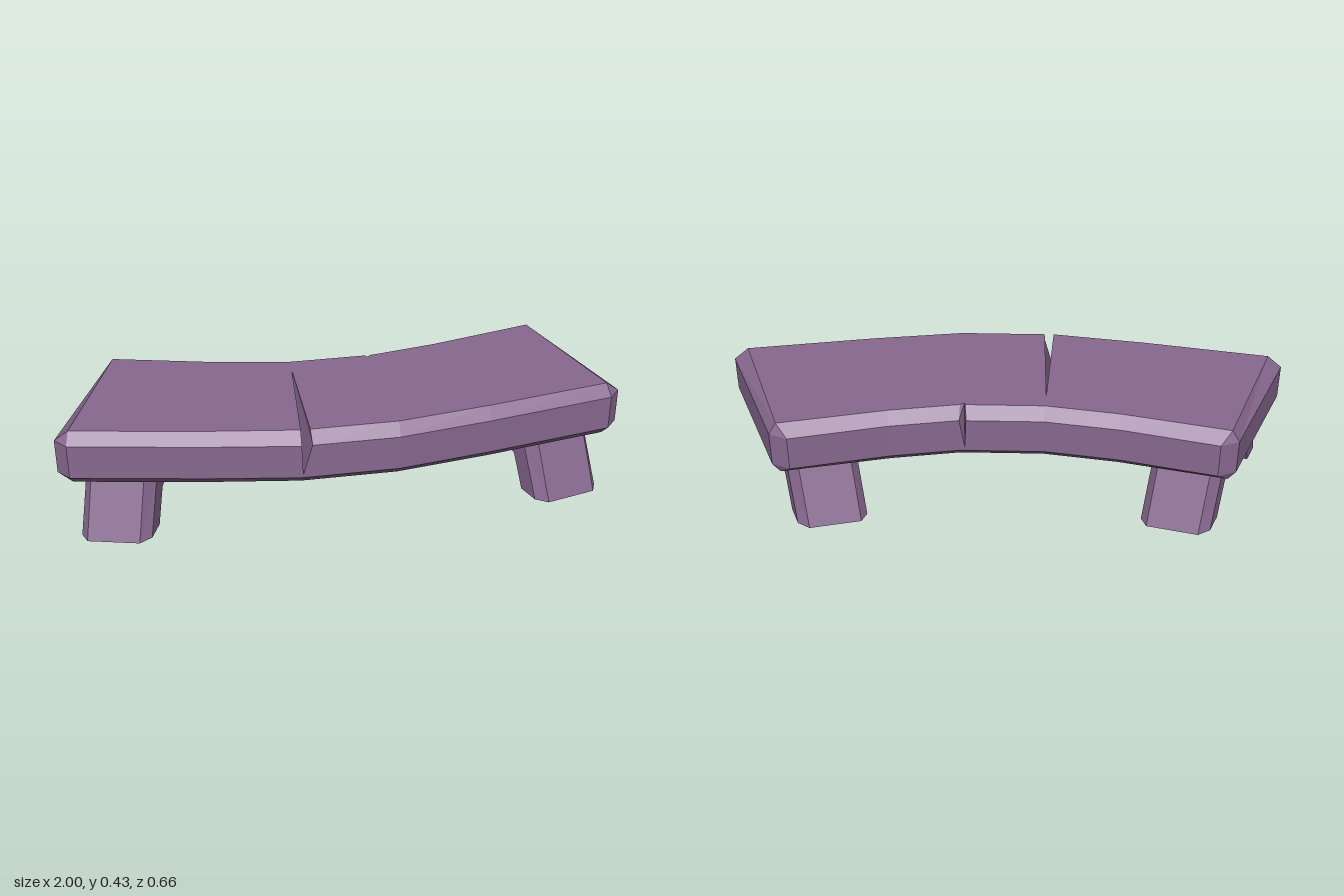
import * as THREE from 'three';

const stone = new THREE.MeshStandardMaterial({ color: 0x87688f, flatShading: true });
stone.name = 'purpleStone';

// Collects flat polygons, given counter-clockwise from outside, into one mesh
function polyMesh(name, polys, mirror = false) {
  const pos = [];
  for (const p of polys) {
    for (let i = 1; i < p.length - 1; i++) {
      const t = [p[0], p[i], p[i + 1]];
      const area = new THREE.Triangle(...t).getArea();
      if (area < 1e-7) continue;
      if (mirror) t.reverse();
      for (const v of t) pos.push(mirror ? -v.x : v.x, v.y, v.z);
    }
  }
  const geo = new THREE.BufferGeometry();
  geo.setAttribute('position', new THREE.Float32BufferAttribute(pos, 3));
  geo.computeVertexNormals();
  const mesh = new THREE.Mesh(geo, stone);
  mesh.name = name;
  return mesh;
}

const V = (x, y, z) => new THREE.Vector3(x, y, z);

function cap(points, up) {
  const flat = points.map(p => new THREE.Vector2(p.x, -p.z));
  return THREE.ShapeUtils.triangulateShape(flat, []).map(f => {
    const t = f.map(i => points[i]);
    return up ? t : t.reverse();
  });
}

// Curved slab with bevelled rims and two V-shaped cracks
function makeSeat() {
  // outer x, z, then bevelled x, z
  const plan = [
    [-0.96, 0.205, -0.95, 0.17], [-0.5, 0.285, -0.5, 0.247],
    [-0.172, 0.333, -0.17, 0.293], [-0.135, 0.333, -0.137, 0.293],
    [0.17, 0.333, 0.17, 0.293], [0.5, 0.285, 0.5, 0.247],
    [0.96, 0.205, 0.95, 0.17], [1, 0.16, 0.95, 0.17],
    [0.805, -0.297, 0.78, -0.286], [0.74, -0.322, 0.78, -0.286],
    [0.4, -0.24, 0.4, -0.2], [0.157, -0.2, 0.155, -0.16], [0.133, -0.2, 0.135, -0.16],
    [-0.14, -0.2, -0.14, -0.16], [-0.4, -0.24, -0.4, -0.2],
    [-0.74, -0.322, -0.78, -0.286], [-0.805, -0.297, -0.78, -0.286],
    [-1, 0.16, -0.95, 0.17],
  ];
  // keyed by the plan point where the crack starts
  const cracks = {
    2: { tip: V(-0.145, 0.43, 0.1 - 0.2), low: V(-0.168, 0.272, 0.333) },
    11: { tip: V(0.14, 0.43, -0.15), low: V(0.138, 0.272, -0.2) },
  };
  const ring = (y, inset) => plan.map(p => V(p[inset ? 2 : 0], y, p[inset ? 3 : 1]));
  const rings = [ring(0.22, true), ring(0.26, false), ring(0.39, false), ring(0.43, true)];
  const polys = [];
  const top = [];
  plan.forEach((_, i) => {
    const j = (i + 1) % plan.length;
    const [r0, r1, r2, r3] = rings;
    polys.push([r0[i], r0[j], r1[j], r1[i]]);
    top.push(r3[i]);
    const c = cracks[i];
    if (c) {
      top.push(c.tip);
      polys.push([r1[i], r1[j], c.low], [r1[j], r2[j], c.low], [r1[i], c.low, r2[i]]);
      polys.push([c.tip, r3[i], r2[i], c.low], [c.tip, c.low, r2[j], r3[j]]);
    } else {
      polys.push([r1[i], r1[j], r2[j], r2[i]], [r2[i], r2[j], r3[j], r3[i]]);
    }
  });
  const unique = pts => pts.filter((p, i) => !p.equals(pts[(i + 1) % pts.length]));
  polys.push(...cap(unique(top), true), ...cap(unique(rings[0]), false));
  return polyMesh('seat', polys);
}

// Splayed arch support, lofted from the front foot over to the back foot
function makeLeg(name, mirror) {
  // distance from arch centre and height of the inner, side and outer edges
  const foot = [[0.171, 0], [0.245, 0], [0.279, 0]];
  const knee = [[0.118, 0.127], [0.17, 0.185], [0.2, 0.21]];
  const apex = [[0, 0.178], [0, 0.25], [0, 0.28]];
  const stations = [[foot, 1], [knee, 1], [apex, 1], [knee, -1], [foot, -1]];
  const full = 0.125, narrow = 0.093;
  const point = ([d, y], sign, w) =>
    V(0.7165 + 0.4175 * d * sign + 0.972 * w, y, -0.031 + d * sign - 0.233 * w);
  const rings = stations.map(([[inner, side, outer], s]) => [
    point(inner, s, -full), point(inner, s, full), point(side, s, full),
    point(outer, s, narrow), point(outer, s, -narrow), point(side, s, -full),
  ]);
  const polys = [rings[0], [...rings[4]].reverse()];
  for (let k = 0; k < 4; k++) {
    const a = rings[k], b = rings[k + 1];
    for (let i = 0; i < 6; i++) {
      const j = (i + 1) % 6;
      polys.push([a[i], b[i], b[j], a[j]]);
    }
  }
  return polyMesh(name, polys, mirror);
}

export function createModel() {
  const bench = new THREE.Group();
  bench.name = 'curvedBench';
  bench.add(makeSeat(), makeLeg('leftLeg', false), makeLeg('rightLeg', true));
  return bench;
}
